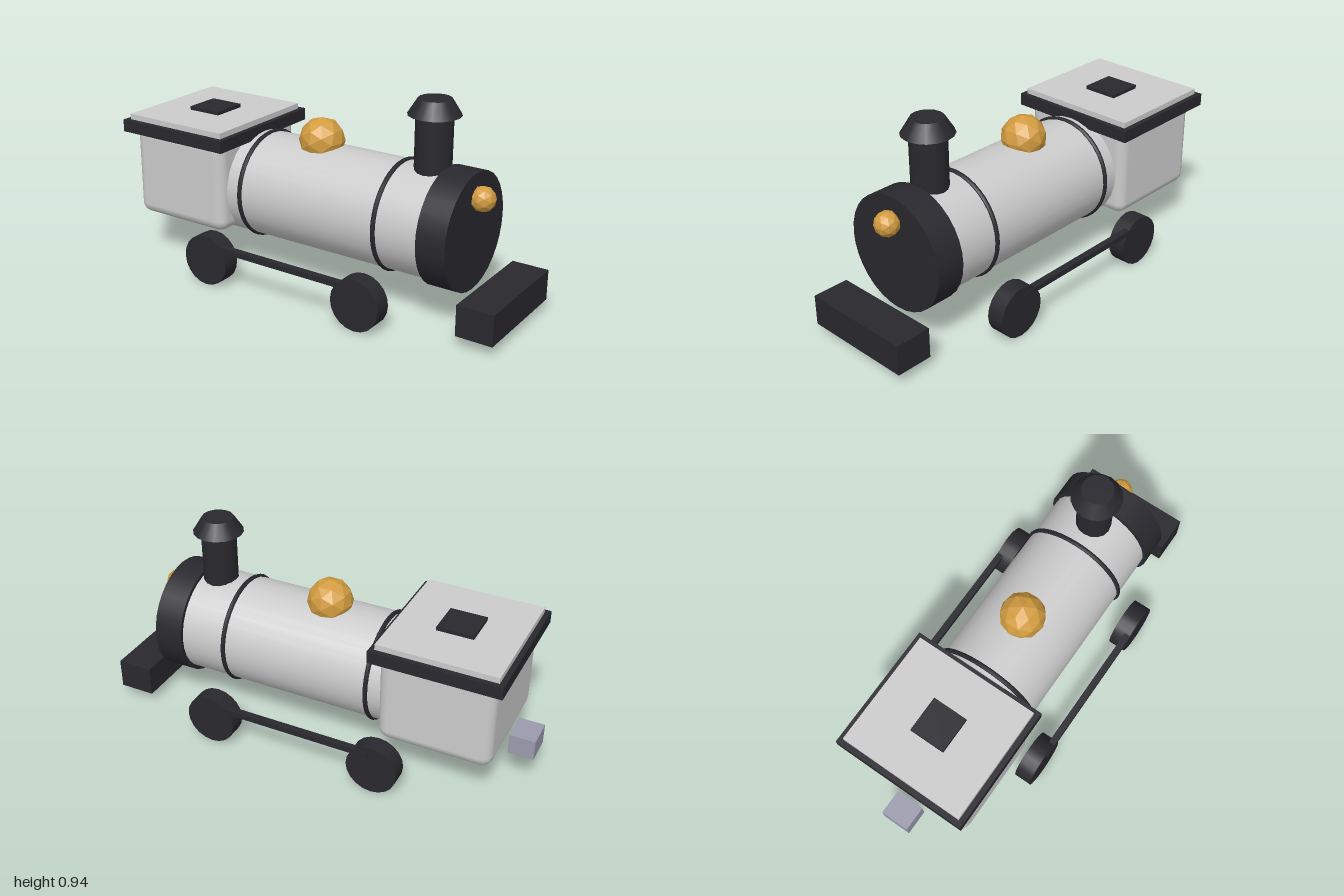
import * as THREE from 'three';
import { RoundedBoxGeometry } from 'three/addons/geometries/RoundedBoxGeometry.js';

export function createModel() {
  const model = new THREE.Group();
  model.name = 'steamLocomotive';

  const mat = (color, flatShading = false) => new THREE.MeshStandardMaterial({ color, flatShading });
  const grey = mat(0xcccccc);
  const dark = mat(0x28282e);
  const brass = mat(0xd29c40, true);
  const steel = mat(0x9b9bae);

  const add = (name, geometry, material, x, y, z) => {
    const mesh = new THREE.Mesh(geometry, material);
    mesh.name = name;
    mesh.position.set(x, y, z);
    model.add(mesh);
    return mesh;
  };

  // Box given by its extents on each axis
  const box = (name, material, [x0, x1], [y0, y1], [z0, z1]) =>
    add(name, new THREE.BoxGeometry(x1 - x0, y1 - y0, z1 - z0), material,
      (x0 + x1) / 2, (y0 + y1) / 2, (z0 + z1) / 2);

  // Cylinder lying along x
  const axle = 0.402;
  const barrel = (name, material, radius, x0, x1) => {
    const geometry = new THREE.CylinderGeometry(radius, radius, x1 - x0, 32).rotateZ(-Math.PI / 2);
    return add(name, geometry, material, (x0 + x1) / 2, axle, 0);
  };

  // Boiler, smokebox and the two bands
  barrel('boiler', grey, 0.243, -0.56, 0.66);
  barrel('smokebox', dark, 0.262, 0.635, 0.77);
  for (const x of [-0.284, 0.421]) {
    add('boilerBand', new THREE.TorusGeometry(0.243, 0.011, 8, 40).rotateY(Math.PI / 2), dark, x, axle, 0);
  }

  // Chimney with flared cap
  add('chimney', new THREE.CylinderGeometry(0.081, 0.081, 0.28, 16), dark, 0.562, 0.745, 0);
  add('chimneyCap', new THREE.CylinderGeometry(0.072, 0.115, 0.069, 16), dark, 0.562, 0.91, 0);

  // Faceted brass dome and headlamp
  add('steamDome', new THREE.IcosahedronGeometry(0.104, 1), brass, 0, 0.662, 0);
  add('headlamp', new THREE.IcosahedronGeometry(0.056, 1), brass, 0.8, 0.555, 0);

  // Cab and layered roof
  add('cab', new RoundedBoxGeometry(0.515, 0.43, 0.566, 2, 0.05), grey, -0.613, 0.43, 0);
  box('roof', dark, [-0.907, -0.322], [0.62, 0.677], [-0.318, 0.318]);
  box('roofPanel', grey, [-0.883, -0.345], [0.67, 0.703], [-0.294, 0.294]);
  box('roofHatch', dark, [-0.697, -0.53], [0.695, 0.72], [-0.083, 0.083]);

  // Wheels and coupling rods on both sides
  for (const side of [-1, 1]) {
    for (const x of [-0.38, 0.421]) {
      const geometry = new THREE.CylinderGeometry(0.118, 0.118, 0.082, 20).rotateX(Math.PI / 2);
      add('wheel', geometry, dark, x, 0.118, side * 0.341);
    }
    add('couplingRod', new THREE.BoxGeometry(0.76, 0.026, 0.031), dark, 0.02, 0.192, side * 0.369);
  }

  // Front buffer beam and rear coupler
  box('bufferBeam', dark, [0.832, 1], [0.05, 0.19], [-0.26, 0.26]);
  box('rearCoupler', steel, [-1, -0.884], [0.17, 0.265], [-0.068, 0.068]);

  return model;
}
